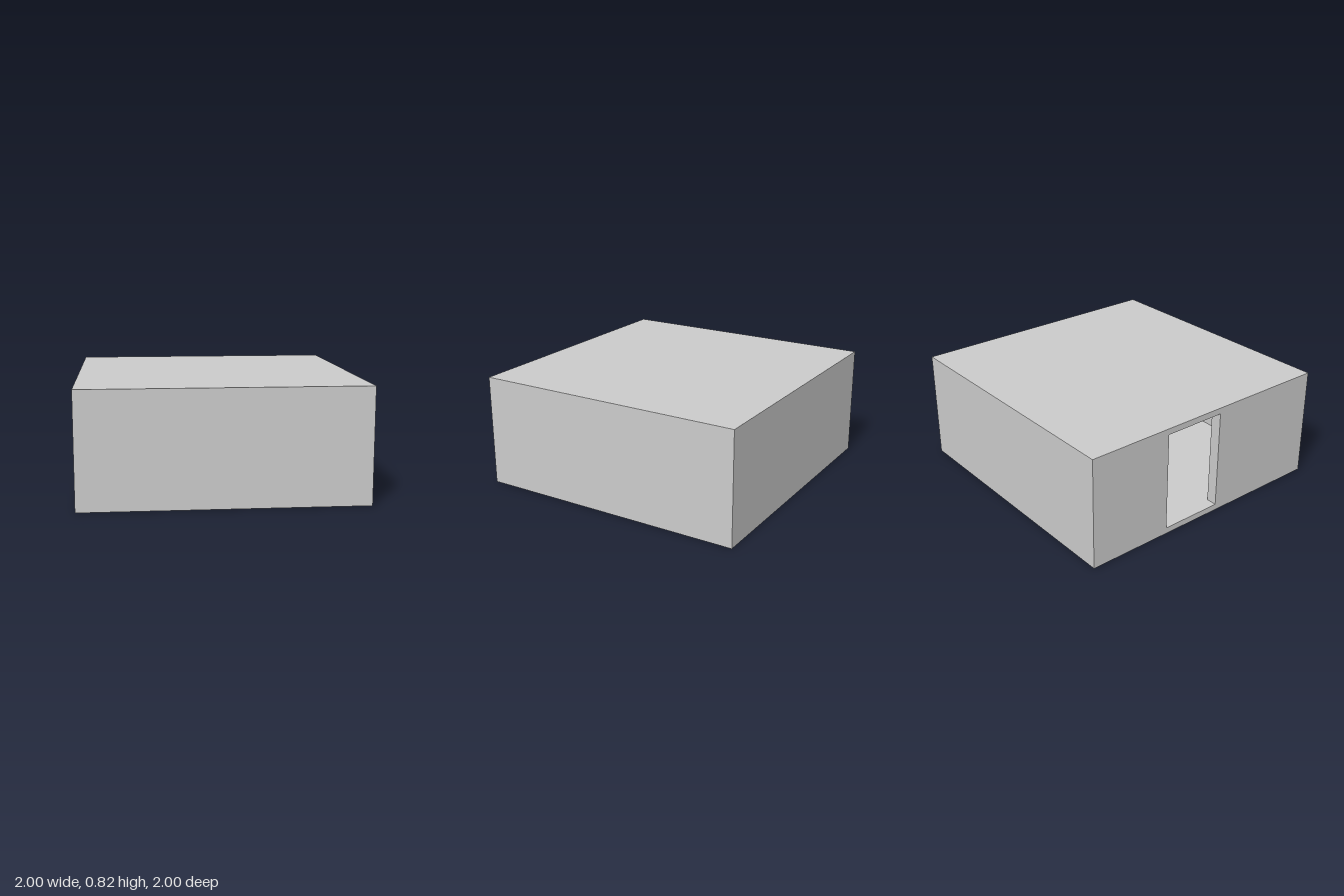
import * as THREE from 'three';

const HEIGHT = 0.82;   // overall height
const SLAB = 0.045;    // floor and roof thickness
const INNER = 0.92;    // half width of the room inside the walls
const DOOR_BACK = -0.37, DOOR_FRONT = 0.1; // doorway extent along z

export function createModel() {
  const group = new THREE.Group();
  group.name = 'room';
  const material = new THREE.MeshStandardMaterial({ color: 0xcccccc });

  const add = (name, geometry, y) => {
    const mesh = new THREE.Mesh(geometry, material);
    mesh.name = name;
    mesh.position.y = y;
    group.add(mesh);
  };

  // Floor and roof slabs
  add('floor', new THREE.BoxGeometry(2, SLAB, 2), SLAB / 2);
  add('roof', new THREE.BoxGeometry(2, SLAB, 2), HEIGHT - SLAB / 2);

  // Wall plan: a closed ring, open only at the full-height doorway in the -x side
  const plan = [
    [-1, DOOR_FRONT], [-1, 1], [1, 1], [1, -1], [-1, -1], [-1, DOOR_BACK],
    [-INNER, DOOR_BACK], [-INNER, -INNER], [INNER, -INNER],
    [INNER, INNER], [-INNER, INNER], [-INNER, DOOR_FRONT],
  ];
  const shape = new THREE.Shape(plan.map(([x, z]) => new THREE.Vector2(x, -z)));
  const walls = new THREE.ExtrudeGeometry(shape, {
    depth: HEIGHT - 2 * SLAB,
    bevelEnabled: false,
  });
  walls.rotateX(-Math.PI / 2);
  add('walls', walls, SLAB);

  return group;
}
